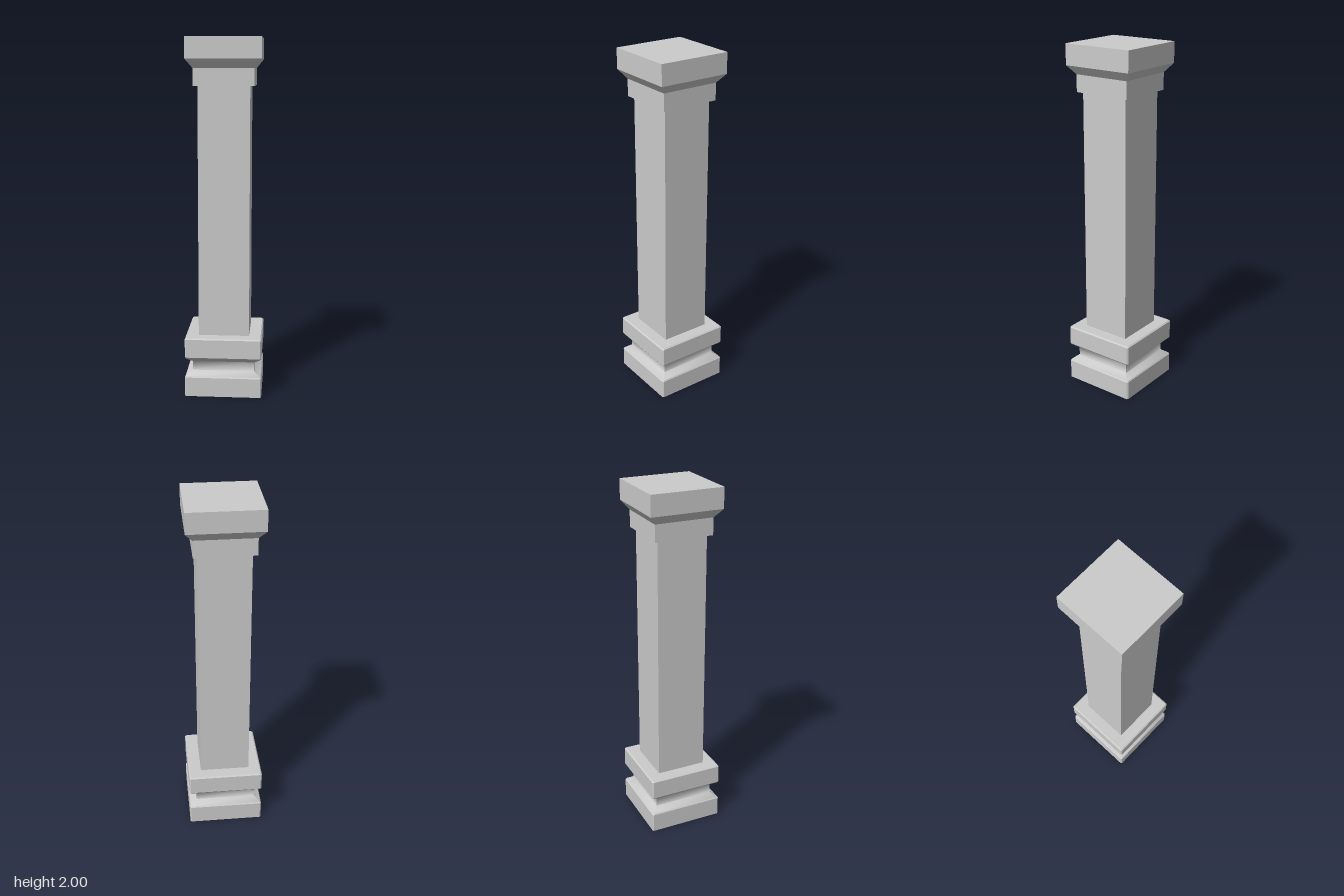
import * as THREE from 'three';
import { toCreasedNormals } from 'three/addons/utils/BufferGeometryUtils.js';

// One square ring of half-width h at height y; c cuts the corners
function ring(h, y, c) {
  const corners = [[1, 1], [1, -1], [-1, -1], [-1, 1]]; // counter-clockwise from above
  const points = [];
  corners.forEach(([sx, sz], i) => {
    if (!c) return points.push([sx * h, y, sz * h]);
    const onX = [sx * h, y, sz * (h - c)];
    const onZ = [sx * (h - c), y, sz * h];
    points.push(...(i % 2 ? [onX, onZ] : [onZ, onX]));
  });
  return points;
}

// Stacks square rings along a profile of [half-width, y], bottom to top
function squareLoft(profile, { cut = 0, crease = 0.3, caps = true } = {}) {
  const rings = profile.map(([h, y]) => ring(h, y, cut));
  const n = rings[0].length;
  const index = [];
  for (let j = 0; j < rings.length - 1; j++) {
    for (let i = 0; i < n; i++) {
      const a = j * n + i, b = j * n + (i + 1) % n;
      index.push(a, b, b + n, a, b + n, a + n);
    }
  }
  const top = (rings.length - 1) * n;
  for (let i = 1; caps && i < n - 1; i++) {
    index.push(0, i + 1, i, top, top + i, top + i + 1);
  }
  const geometry = new THREE.BufferGeometry();
  geometry.setAttribute('position', new THREE.Float32BufferAttribute(rings.flat(2), 3));
  geometry.setIndex(index);
  return toCreasedNormals(geometry, crease);
}

export function createModel() {
  const group = new THREE.Group();
  group.name = 'squareColumn';
  const material = new THREE.MeshStandardMaterial({ color: 0xcccccc });
  const add = (name, geometry) => {
    const mesh = new THREE.Mesh(geometry, material);
    mesh.name = name;
    group.add(mesh);
  };

  // Base: two blocks with cut corners, joined by a softly shaded neck
  const cut = 0.007;
  add('lowerBaseBlock', squareLoft([[0.216, 0], [0.216, 0.11], [0.211, 0.117]], { cut }));
  add('baseNeck', squareLoft(
    [[0.211, 0.117], [0.175, 0.143], [0.175, 0.195], [0.211, 0.221]],
    { crease: 1.1, caps: false }));
  add('upperBaseBlock', squareLoft(
    [[0.211, 0.221], [0.216, 0.228], [0.216, 0.333], [0.209, 0.34]], { cut }));

  // Plain square shaft
  add('shaft', squareLoft([[0.143, 0.335], [0.143, 1.745]]));

  // Capital: collar, flare and top slab
  add('collar', squareLoft([[0.167, 1.74], [0.167, 1.836]]));
  add('flare', squareLoft([[0.167, 1.836], [0.206, 1.885]], { caps: false }));
  add('topSlab', squareLoft([[0.206, 1.885], [0.206, 2]]));

  return group;
}
